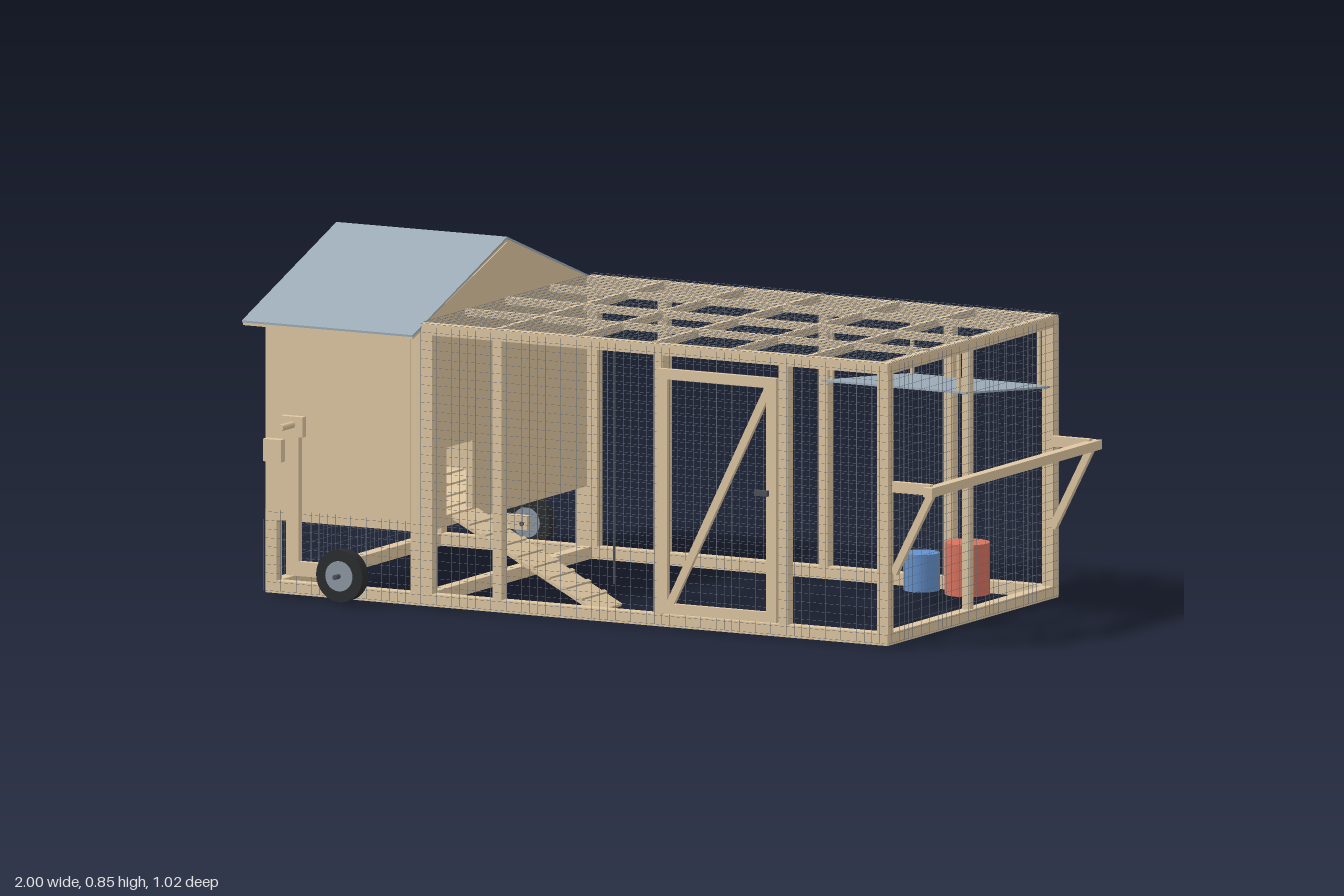
import * as THREE from 'three';
import { mergeGeometries } from 'three/addons/utils/BufferGeometryUtils.js';

const mat = (name, color) => {
  const m = new THREE.MeshStandardMaterial({ color });
  m.name = name;
  return m;
};

export function createModel() {
  const root = new THREE.Group();
  root.name = 'chickenTractor';
  const wood = mat('wood', 0xe0c7a2), metal = mat('roofMetal', 0x9dacb8), wire = mat('wire', 0x69727e);
  const tyre = mat('tyre', 0x2b2d2f), hubGrey = mat('hub', 0x8f9aa3), dark = mat('darkMetal', 0x4d535c);
  const red = mat('redFeeder', 0xd8735f), blue = mat('blueDrinker', 0x6592cf), pale = mat('louvreGrey', 0xb9bdc9);

  const add = (name, geo, material) => {
    const m = new THREE.Mesh(geo, material);
    m.name = name;
    root.add(m);
    return m;
  };
  // Box given by its limits
  const boxGeo = (x0, x1, y0, y1, z0, z1) => new THREE.BoxGeometry(x1 - x0, y1 - y0, z1 - z0)
    .translate((x0 + x1) / 2, (y0 + y1) / 2, (z0 + z1) / 2);
  const box = (name, m, ...e) => add(name, boxGeo(...e), m);
  // Straight bar between two points, w wide and h high
  const bar = (name, m, a, b, w, h) => {
    const p = new THREE.Vector3(...a), q = new THREE.Vector3(...b);
    const mesh = add(name, new THREE.BoxGeometry(w, h, p.distanceTo(q)), m);
    mesh.position.copy(p).add(q).multiplyScalar(0.5);
    mesh.lookAt(q);
    return mesh;
  };
  // Profile drawn in (z, y), extruded from x0 to x1, with an optional rectangular hole
  const profile = (name, m, pts, x0, x1, hole) => {
    const s = new THREE.Shape(pts.map(p => new THREE.Vector2(...p)));
    if (hole) {
      const [a, b, c, d] = hole;
      s.holes.push(new THREE.Path([[a, c], [a, d], [b, d], [b, c]].map(p => new THREE.Vector2(...p))));
    }
    const g = new THREE.ExtrudeGeometry(s, { depth: x1 - x0, bevelEnabled: false });
    return add(name, g.rotateY(-Math.PI / 2).translate(x1, 0, 0), m);
  };

  // Run frame
  for (const s of [-1, 1]) {
    const z0 = s > 0 ? 0.4 : -0.43, z1 = z0 + 0.03;
    box('bottomRail', wood, -0.84, 0.88, 0.01, 0.04, z0, z1);
    box('topRail', wood, -0.41, 0.88, 0.675, 0.702, z0, z1);
    for (const [x, w] of [[-0.825, 0.03], [-0.41, 0.06], [-0.2, 0.025], [0.245, 0.025], [0.59, 0.025], [0.865, 0.03]])
      box('post', wood, x - w / 2, x + w / 2, 0.012, 0.69, z0 + 0.001, z1 - 0.001);
  }
  for (const x of [-0.84, 0.85]) box('endBottomRail', wood, x, x + 0.03, 0.01, 0.04, -0.4, 0.4);
  box('endTopRail', wood, 0.85, 0.88, 0.675, 0.702, -0.4, 0.4);
  box('endPost', wood, 0.855, 0.875, 0.04, 0.675, -0.01, 0.01);
  box('midBottomRail', wood, -0.425, -0.395, 0.01, 0.04, -0.4, 0.4);
  for (const x of [-0.2, 0.02, 0.23, 0.45, 0.66]) box('roofCrossbar', wood, x - 0.007, x + 0.007, 0.687, 0.706, -0.42, 0.42);
  for (const [z, w] of [[0, 0.02], [-0.22, 0.013], [0.205, 0.013]])
    box('roofRunner', wood, -0.41, 0.87, 0.69, 0.707, z - w / 2, z + w / 2);

  // Wire netting: thin crossing strands on each face
  const strands = [], t = 0.0003, pitch = 0.0215;
  const steps = (a, b) => Array.from({ length: Math.round((b - a) / pitch) + 1 }, (_, i) => a + i * pitch);
  const netXY = (x0, x1, y0, y1, z) => {
    for (const x of steps(x0, x1)) strands.push(boxGeo(x - t, x + t, y0, y1, z - t, z + t));
    for (const y of steps(y0, y1)) strands.push(boxGeo(x0, x1, y - t, y + t, z - t, z + t));
  };
  const netZY = (y0, y1, x) => {
    for (const z of steps(-0.425, 0.425)) strands.push(boxGeo(x - t, x + t, y0, y1, z - t, z + t));
    for (const y of steps(y0, y1)) strands.push(boxGeo(x - t, x + t, y - t, y + t, -0.425, 0.425));
  };
  for (const z of [-0.431, 0.431]) {
    netXY(-0.41, 0.88, 0.015, 0.695, z);
    netXY(-0.84, -0.41, 0.015, 0.215, z);
  }
  netZY(0.015, 0.695, 0.881);
  netZY(0.015, 0.19, -0.843);
  for (const x of steps(-0.4, 0.88)) strands.push(boxGeo(x - t, x + t, 0.708 - t, 0.708 + t, -0.43, 0.43));
  for (const z of steps(-0.425, 0.425)) strands.push(boxGeo(-0.4, 0.88, 0.708 - t, 0.708 + t, z - t, z + t));
  add('wireNetting', mergeGeometries(strands), wire);

  // Run door with diagonal brace and latch
  const dz0 = 0.432, dz1 = 0.445;
  box('doorStile', wood, 0.25, 0.278, 0.045, 0.645, dz0, dz1);
  box('doorStile', wood, 0.552, 0.58, 0.045, 0.645, dz0, dz1);
  box('doorRail', wood, 0.278, 0.552, 0.62, 0.645, dz0, dz1);
  box('doorRail', wood, 0.278, 0.552, 0.045, 0.07, dz0, dz1);
  bar('doorBrace', wood, [0.283, 0.065, 0.438], [0.555, 0.615, 0.438], 0.012, 0.02);
  box('doorLatch', dark, 0.525, 0.56, 0.355, 0.369, dz1, 0.455);

  // House: gable walls, side walls and slatted floor
  const gable = [[-0.425, 0.187], [0.425, 0.187], [0.425, 0.695], [0, 0.842], [-0.425, 0.695]];
  profile('houseOuterWall', wood, gable, -0.842, -0.825, [-0.06, 0.35, 0.26, 0.6]);
  profile('houseInnerWall', wood, gable, -0.425, -0.408, [0.175, 0.305, 0.215, 0.38]);
  for (const s of [-1, 1])
    box('houseSideWall', wood, -0.825, -0.44, 0.19, 0.69, s > 0 ? 0.414 : -0.4305, s > 0 ? 0.4305 : -0.414);
  for (let i = 0; i < 5; i++) {
    const x = -0.824 + i * 0.0825;
    box('floorPlank', wood, x, x + 0.068, 0.187, 0.202, -0.414, 0.414);
  }

  // Louvre in the outer wall, slats shedding outwards
  for (let i = 0; i < 8; i++) {
    const slat = add('louvreSlat', new THREE.BoxGeometry(0.004, 0.054, 0.41), pale);
    slat.position.set(-0.83, 0.281 + i * 0.0425, 0.145);
    slat.rotation.z = -0.42;
  }

  // Pitched roof: metal sheet over a wooden deck
  const chevron = (w, eave, ridge, d) => [[-w, eave], [0, ridge], [w, eave], [w, eave - d], [0, ridge - d], [-w, eave - d]].reverse();
  profile('roofSheet', metal, chevron(0.475, 0.68, 0.855, 0.005), -0.88, -0.408);
  profile('roofDeck', wood, chevron(0.472, 0.676, 0.85, 0.008), -0.878, -0.41);

  // Nest box with thin sloping lid
  box('nestBox', wood, -0.995, -0.84, 0.25, 0.366, -0.405, -0.095);
  bar('nestBoxLid', wood, [-1, 0.367, -0.25], [-0.835, 0.401, -0.25], 0.32, 0.005);

  // Ramp with cleats
  const top = [-0.395, 0.212], foot = [0.005, 0.008];
  bar('ramp', wood, [...top, 0.24], [...foot, 0.24], 0.13, 0.008);
  for (let i = 1; i < 9; i++) {
    const k = i / 9, x = top[0] + (foot[0] - top[0]) * k, y = top[1] + (foot[1] - top[1]) * k + 0.007;
    const cleat = add('rampCleat', new THREE.BoxGeometry(0.01, 0.008, 0.126), wood);
    cleat.position.set(x, y, 0.24);
    cleat.rotation.z = -0.47;
  }
  box('hangingCord', dark, 0.018, 0.022, 0.07, 0.67, 0.238, 0.242);

  // Wheels on lever arms, mirrored on both sides
  for (const s of [-1, 1]) {
    const zBox = (name, x0, x1, y0, y1, a, b) => box(name, wood, x0, x1, y0, y1, Math.min(a * s, b * s), Math.max(a * s, b * s));
    zBox('leverHead', -0.787, -0.727, 0.4, 0.45, 0.432, 0.449);
    zBox('leverUpright', -0.772, -0.738, 0.06, 0.4, 0.432, 0.449);
    zBox('leverArm', -0.738, -0.59, 0.06, 0.095, 0.432, 0.449);
    zBox('leverStop', -0.835, -0.785, 0.335, 0.39, 0.43, 0.452);
    const round = (name, m, r, x, y, a, b, n = 32) => add(name,
      new THREE.CylinderGeometry(r, r, b - a, n).rotateX(Math.PI / 2).translate(x, y, s * (a + b) / 2), m);
    round('leverPeg', wood, 0.008, -0.755, 0.43, 0.43, 0.51, 16);
    round('wheelTyre', tyre, 0.064, -0.605, 0.075, 0.456, 0.486);
    round('wheelHub', hubGrey, 0.037, -0.605, 0.075, 0.453, 0.489);
    round('axle', dark, 0.006, -0.605, 0.075, 0.43, 0.51, 16);
  }

  // Pull handle at the run end
  box('handleBar', wood, 0.975, 1, 0.382, 0.405, -0.43, 0.425);
  for (const z of [-0.4, 0.4]) {
    box('handleArm', wood, 0.88, 0.985, 0.384, 0.41, z - 0.008, z + 0.008);
    bar('handleBrace', wood, [0.985, 0.385, z], [0.882, 0.185, z], 0.015, 0.018);
  }

  // Hanging shade sheet, tilted towards the back
  bar('shadeSheet', metal, [0.671, 0.572, 0.018], [0.671, 0.526, -0.425], 0.402, 0.005);
  for (const x of [0.49, 0.84]) {
    box('shadeHanger', wood, x - 0.004, x + 0.004, 0.57, 0.69, -0.004, 0.004);
    box('shadeHanger', wood, x - 0.004, x + 0.004, 0.53, 0.69, -0.408, -0.4);
  }

  // Feeder and drinker
  add('feeder', new THREE.CylinderGeometry(0.055, 0.055, 0.127, 32).translate(0.745, 0.1015, -0.215), red);
  add('drinker', new THREE.CylinderGeometry(0.044, 0.044, 0.092, 32).translate(0.62, 0.084, -0.215), blue);

  return root;
}
